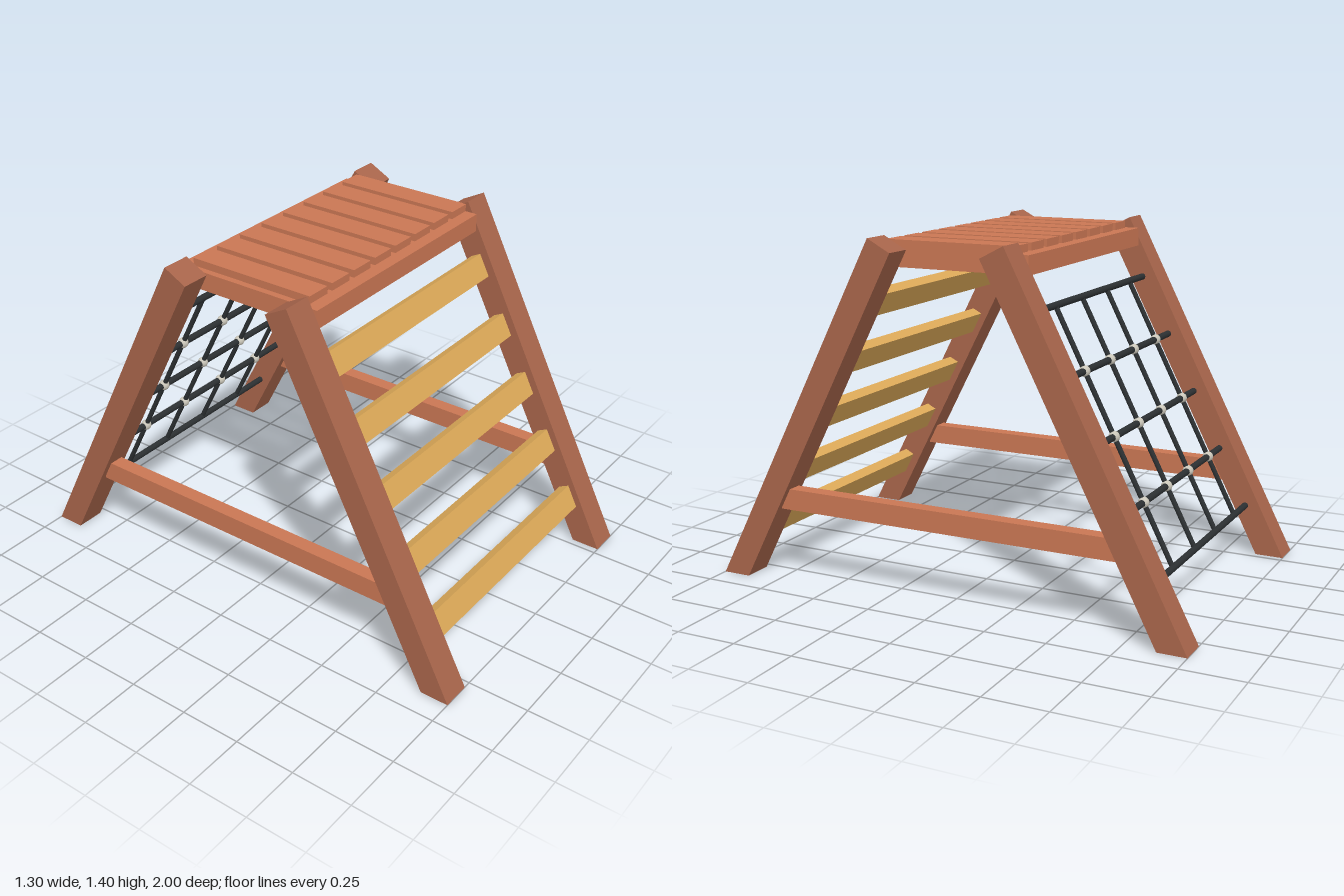
import * as THREE from 'three';

const material = (name, color) => Object.assign(new THREE.MeshStandardMaterial({ color }), { name });

export function createModel() {
  const model = new THREE.Group();
  model.name = 'climbingFrame';
  const legWood = material('brown leg wood', 0xa8654b);
  const deckWood = material('orange deck wood', 0xc97653);
  const stepWood = material('yellow step wood', 0xdca958);
  const rope = material('black rope', 0x2c3032);
  const knotGrey = material('pale knot', 0xcbc7ba);

  const add = (parent, name, geometry, mat, x = 0, y = 0, z = 0) => {
    const mesh = new THREE.Mesh(geometry, mat);
    mesh.name = name;
    mesh.position.set(x, y, z);
    parent.add(mesh);
    return mesh;
  };
  const box = (parent, name, w, h, d, mat, x, y, z) =>
    add(parent, name, new THREE.BoxGeometry(w, h, d), mat, x, y, z);

  const tilt = Math.atan2(0.72, 1.403); // lean of the legs
  const innerHalf = 0.53;               // half the clear width between legs

  // Leaning legs: flat on the ground, cut square at the top
  const profile = new THREE.Shape([
    [1, 0], [0.28, 1.403], [0.185, 1.353], [0.883, 0],
  ].map(([z, y]) => new THREE.Vector2(z, y)));
  const legGeometry = new THREE.ExtrudeGeometry(profile, { depth: 0.12, bevelEnabled: false });
  legGeometry.rotateY(-Math.PI / 2).translate(0.65, 0, 0);
  for (const [end, turn] of [['front', 0], ['back', Math.PI]]) {
    for (const shift of [0, -1.18]) {
      const holder = new THREE.Group();
      holder.name = end + 'Leg';
      holder.rotation.y = turn;
      add(holder, end + 'LegPost', legGeometry, legWood, shift);
      model.add(holder);
    }
  }

  // Ladder boards on the front slope
  for (let i = 0; i < 5; i++) {
    const y = 0.205 + i * 0.2335;
    const step = box(model, 'ladderBoard', innerHalf * 2, 0.099, 0.045, stepWood, 0, y, 0.947 - y * 0.523);
    step.rotation.x = -tilt;
  }

  // Lower braces and the deck frame
  for (const s of [-1, 1]) {
    box(model, 'lowerBrace', 0.06, 0.085, 1.45, deckWood, s * 0.592, 0.342, 0);
    box(model, 'deckBeam', innerHalf * 2, 0.074, 0.07, deckWood, 0, 1.323, s * 0.287);
    box(model, 'deckSideRail', 0.055, 0.074, 0.504, deckWood, s * 0.502, 1.323, 0);
  }

  // Deck slats
  for (let i = 0; i < 8; i++) {
    box(model, 'deckSlat', 0.104, 0.03, 0.54, deckWood, -0.451 + i * 0.1331, 1.375, 0);
  }

  // Rope net on the back slope
  const net = new THREE.Group();
  net.name = 'ropeNet';
  net.position.set(0, 0.682, -0.586);
  net.rotation.x = tilt;
  model.add(net);
  const pitch = 0.266;
  const columns = [-0.38, -0.138, 0.104, 0.347];
  const barGeometry = new THREE.CylinderGeometry(0.0135, 0.0135, innerHalf * 2, 12).rotateZ(Math.PI / 2);
  const ropeGeometry = new THREE.CylinderGeometry(0.01, 0.01, pitch * 4, 10);
  const knotGeometry = new THREE.SphereGeometry(0.022, 14, 10);
  for (let row = -2; row <= 2; row++) add(net, 'netBar', barGeometry, rope, 0, row * pitch, 0);
  for (const x of columns) {
    add(net, 'netRope', ropeGeometry, rope, x);
    for (let row = -1; row <= 1; row++) add(net, 'netKnot', knotGeometry, knotGrey, x, row * pitch, 0);
  }

  return model;
}
